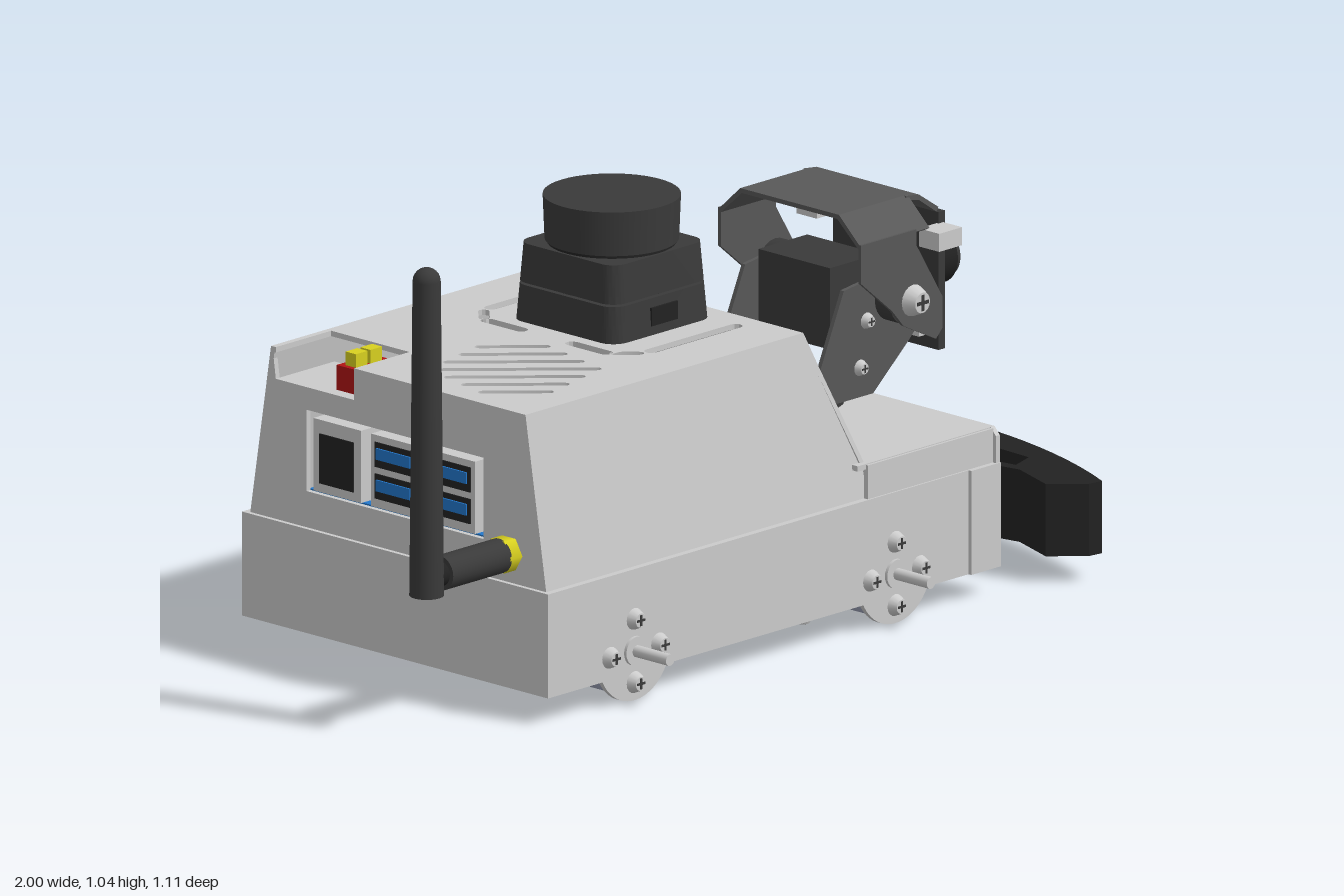
import * as THREE from 'three';
import { toCreasedNormals } from 'three/addons/utils/BufferGeometryUtils.js';

const mat = c => new THREE.MeshStandardMaterial({ color: c, side: THREE.DoubleSide });
const GREY = mat(0xcccccc), DARK = mat(0x3a3a3a), BLACK = mat(0x222222), MOTOR = mat(0xa3a9c0),
  YELLOW = mat(0xd8d020), RED = mat(0xb01515), BLUE = mat(0x2277cc), BRACKET = mat(0x585858);

const pts = a => a.map(p => new THREE.Vector2(p[0], p[1]));
const poly = (a, ...holes) => {
  const s = new THREE.Shape(pts(a));
  s.holes.push(...holes);
  return s;
};
const rect = (x0, y0, x1, y1) => [[x0, y0], [x1, y0], [x1, y1], [x0, y1]];
const hole = a => new THREE.Path(pts(a));

// Rounded slot outline; half is the half length between its end centres
function slot(cx, cy, half, r, angle) {
  const out = [];
  for (let i = 0; i < 12; i++) {
    const a = -Math.PI / 2 + Math.PI * (i % 6) / 5 + (i < 6 ? 0 : Math.PI);
    const u = (i < 6 ? half : -half) + r * Math.cos(a), v = r * Math.sin(a);
    out.push([cx + u * Math.cos(angle) - v * Math.sin(angle), cy + u * Math.sin(angle) + v * Math.cos(angle)]);
  }
  return out;
}

export function createModel() {
  const root = new THREE.Group();
  const add = (name, geo, material, x = 0, y = 0, z = 0) => {
    const m = new THREE.Mesh(geo, material);
    m.name = name;
    m.position.set(x, y, z);
    root.add(m);
    return m;
  };
  // Box given by its limits
  const box = (name, x0, x1, y0, y1, z0, z1, m = GREY) =>
    add(name, new THREE.BoxGeometry(x1 - x0, y1 - y0, z1 - z0), m, (x0 + x1) / 2, (y0 + y1) / 2, (z0 + z1) / 2);
  // Cylinder along an axis, given start, end and radii
  const rod = (name, axis, a, b, r, x, y, z, m = GREY, r2 = r, seg = 24) => {
    const g = new THREE.CylinderGeometry(r2, r, b - a, seg);
    if (axis === 'x') g.rotateZ(-Math.PI / 2);
    if (axis === 'z') g.rotateX(Math.PI / 2);
    const o = add(name, g, m, x, y, z);
    o.position[axis] = (a + b) / 2;
    return o;
  };
  // Sheet in plane 'xy', 'xz' or 'zy', spanning a..b across it, with an optional vertex rule
  const sheet = (name, plane, shape, a, b, m = GREY, rule) => {
    let g = new THREE.ExtrudeGeometry(shape, { depth: b - a, bevelEnabled: false, curveSegments: 16 });
    if (plane === 'xy') g.translate(0, 0, a);
    if (plane === 'xz') g.rotateX(Math.PI / 2).translate(0, b, 0);
    if (plane === 'zy') g.rotateY(-Math.PI / 2).translate(b, 0, 0);
    if (rule) {
      const p = g.attributes.position;
      for (let i = 0; i < p.count; i++) {
        const v = new THREE.Vector3().fromBufferAttribute(p, i);
        rule(v);
        p.setXYZ(i, v.x, v.y, v.z);
      }
      g.computeVertexNormals();
    }
    return add(name, toCreasedNormals(g, 0.6), m);
  };
  // Cross-head screw pointing along +/- an axis
  const screw = (axis, dir, r, x, y, z) => {
    const g = new THREE.Group();
    g.name = 'screw';
    const head = new THREE.Mesh(new THREE.CylinderGeometry(r * 0.65, r, r * 0.8, 16), GREY);
    const barA = new THREE.Mesh(new THREE.BoxGeometry(r, r * 0.1, r * 0.22), DARK);
    barA.position.y = r * 0.4;
    const barB = barA.clone();
    barB.rotation.y = Math.PI / 2;
    g.add(head, barA, barB);
    const d = new THREE.Vector3();
    d[axis] = dir;
    g.quaternion.setFromUnitVectors(new THREE.Vector3(0, 1, 0), d);
    g.position.set(x, y, z).addScaledVector(d, r * 0.4);
    root.add(g);
  };

  // Open-bottomed chassis: side walls dip round each axle
  const axles = [-0.455, 0.345], AY = 0.12;
  const wall = new THREE.Shape();
  wall.moveTo(-0.72, 0.07);
  for (const x of axles) {
    wall.lineTo(x - 0.098, 0.07);
    wall.absarc(x, AY, 0.11, Math.PI + 0.47, -0.47, false);
  }
  wall.lineTo(0.65, 0.07).lineTo(0.65, 0.295).lineTo(-0.72, 0.295).closePath();
  for (const s of [1, -1]) {
    sheet('chassisSide', 'xy', wall, s > 0 ? 0.438 : -0.45, s > 0 ? 0.45 : -0.438);
    box('cornerFlap', 0.57, 0.66, 0.07, 0.3, s * 0.453 - 0.005, s * 0.453 + 0.005);
    box('deckSide', 0.265, 0.65, 0.29, 0.375, s * 0.44 - 0.006, s * 0.44 + 0.006);
  }
  box('rearWall', -0.72, -0.708, 0.07, 0.295, -0.45, 0.45);
  sheet('chassisRim', 'xz', poly(rect(-0.72, -0.45, 0.65, 0.45), hole(rect(-0.69, -0.41, 0.63, 0.41))), 0.288, 0.3);
  sheet('frontWall', 'zy', poly([[-0.455, 0.07], [0.455, 0.07], [0.455, 0.36], [0.44, 0.377], [-0.44, 0.377], [-0.455, 0.36]]), 0.648, 0.66);
  sheet('deck', 'xz', poly([[0.24, -0.44], [0.655, -0.44], [0.655, 0.44], [0.24, 0.44], [0.24, 0.1], [0.265, 0.08], [0.265, -0.08], [0.24, -0.1]]), 0.365, 0.377);
  for (const s of [1, -1]) screw('y', 1, 0.025, 0.31, 0.377, s * 0.165);

  // Tapered hood with vents, a rear notch and a port opening
  const vents = [];
  for (let i = -3; i <= 3; i++) vents.push(hole(slot(-0.48 + i * 0.04, 0.12 - i * 0.04, 0.175 - Math.abs(i) * 0.035, 0.011, Math.PI / 4)));
  for (const s of [1, -1]) {
    vents.push(hole(slot(-0.255, s * 0.125, 0.05, 0.015, Math.PI / 2)));
    vents.push(hole(slot(-0.05, s * 0.235, 0.13, 0.015, 0)));
    vents.push(hole(slot(-0.228, s * 0.21, 0.025, 0.012, s * Math.PI / 4)));
  }
  sheet('hoodTop', 'xz', poly([[-0.71, -0.13], [-0.54, -0.13], [-0.54, -0.36], [-0.71, -0.36], [-0.71, -0.372], [0.142, -0.372], [0.142, 0.372], [-0.71, 0.372]], ...vents), 0.668, 0.68);
  for (const s of [1, -1]) {
    sheet('hoodSide', 'xy', poly([[-0.71, 0.3], [0.275, 0.3], [0.27, 0.38], [0.142, 0.68], [-0.71, 0.68]]),
      -0.006, 0.006, GREY, v => { v.z += s * (0.368 + (0.68 - v.y) * 0.16); });
  }
  sheet('hoodFront', 'zy', poly([[-0.43, 0.36], [-0.11, 0.36], [-0.1, 0.41], [-0.06, 0.45], [0.06, 0.45], [0.1, 0.41], [0.11, 0.36], [0.43, 0.36], [0.372, 0.68], [-0.372, 0.68]]),
    0.13, 0.142, GREY, v => { v.x += (0.68 - v.y) * 0.43; });
  sheet('hoodBack', 'zy', poly([[-0.43, 0.3], [0.43, 0.3], [0.372, 0.68], [-0.13, 0.68], [-0.13, 0.61], [-0.36, 0.61], [-0.37, 0.68], [-0.372, 0.68]],
    hole(rect(-0.27, 0.38, 0.25, 0.56))), -0.71, -0.698);

  // Electronics behind the openings
  box('circuitBoard', -0.69, -0.2, 0.37, 0.38, -0.28, 0.26, BLUE);
  box('connectorTray', -0.7, -0.53, 0.6, 0.61, -0.36, -0.13);
  for (const [i, z] of [-0.17, 0, 0.165].entries()) {
    box('portShell', -0.72, -0.5, 0.39, 0.55, z - 0.07, z + 0.07);
    if (i === 0) box('networkSocket', -0.723, -0.715, 0.41, 0.52, z - 0.05, z + 0.05, BLACK);
    else for (const y of [0.41, 0.48]) {
      box('portSocket', -0.723, -0.715, y, y + 0.055, z - 0.058, z + 0.058, BLACK);
      box('portTongue', -0.727, -0.715, y + 0.018, y + 0.043, z - 0.05, z + 0.05, BLUE);
    }
  }
  box('powerConnector', -0.68, -0.57, 0.61, 0.665, -0.21, -0.15, RED);
  for (const x of [-0.65, -0.605]) box('connectorPin', x - 0.018, x + 0.018, 0.62, 0.695, -0.195, -0.165, YELLOW);

  // Antenna
  rod('antennaNut', 'x', -0.745, -0.71, 0.04, 0, 0.365, 0.325, YELLOW, 0.04, 6);
  rod('antennaBase', 'x', -0.92, -0.74, 0.038, 0, 0.365, 0.325, DARK);
  rod('antennaNeck', 'x', -0.96, -0.9, 0.028, 0, 0.365, 0.325, BLACK);
  rod('antennaMast', 'y', 0.325, 1.02, 0.037, -0.962, 0, 0.325, DARK, 0.03);
  add('antennaTip', new THREE.SphereGeometry(0.03, 20, 12), DARK, -0.962, 1.02, 0.325);

  // Scanner: tapered rounded base and a turning drum
  const LX = -0.055, h = 0.155, c = 0.04, sq = new THREE.Shape();
  [[h - c, -h + c, -0.5], [h - c, h - c, 0], [-h + c, h - c, 0.5], [-h + c, -h + c, 1]].forEach(([x, y, k]) =>
    sq.absarc(x, y, c, k * Math.PI, (k + 0.5) * Math.PI, false));
  const taper = v => { const k = 1 - (v.y - 0.68) * 0.45; v.x = LX + v.x * k; v.z *= k; };
  sheet('scannerFoot', 'xz', sq, 0.675, 0.76, DARK, taper);
  sheet('scannerBody', 'xz', sq, 0.765, 0.85, DARK, taper);
  rod('scannerNeck', 'y', 0.75, 0.87, 0.138, LX, 0, 0, BLACK, 0.138, 40);
  rod('scannerDrum', 'y', 0.857, 0.955, 0.143, LX, 0, 0, DARK, 0.147, 48);
  box('scannerSocket', LX - 0.04, LX + 0.04, 0.7, 0.74, 0.145, 0.156, BLACK);

  // Drive motors, shafts and mounting screws
  for (const x of axles) for (const s of [1, -1]) {
    for (const [name, a, b, r, m] of [['gearbox', 0.29, 0.437, 0.1, MOTOR], ['motorBody', 0.13, 0.29, 0.092, MOTOR],
      ['motorBand', 0.21, 0.24, 0.1, MOTOR], ['encoderCap', 0.04, 0.14, 0.1, DARK], ['shaftCollar', 0.44, 0.457, 0.032, GREY], ['driveShaft', 0.44, 0.555, 0.013, GREY]])
      rod(name, 'z', Math.min(s * a, s * b), Math.max(s * a, s * b), r, x, AY, 0, m);
    for (const [dx, dy] of [[0.075, 0], [-0.075, 0], [0, 0.07], [0, -0.07]]) screw('z', s, 0.024, x + dx, AY + dy, s * 0.45);
  }

  // Belly plate, its board and corner screws
  box('bellyPlate', -0.33, 0.225, 0.037, 0.049, -0.35, 0.35);
  box('bellyBoard', -0.34, 0.24, 0.085, 0.095, -0.38, 0.38, BLUE);
  for (const x of [-0.305, 0.195]) for (const z of [-0.32, 0.32]) {
    screw('y', -1, 0.025, x, 0.037, z);
    rod('standoff', 'y', 0.045, 0.09, 0.02, x, 0, z, GREY, 0.02, 6);
  }

  // Curved bumper on its bracket
  const rim = [];
  for (let i = 0; i <= 20; i++) {
    const z = -0.545 + 1.09 * i / 20;
    rim.push([Math.sqrt(1.297 ** 2 - z * z) - 0.297, z]);
  }
  const inner = [[0.845, 0.54], [0.78, 0.475], [0.82, 0.36], [0.79, 0.2]];
  const web = s => hole([[0.84, s * 0.33], [0.9, s * 0.31], [0.905, s * 0.21], [0.82, s * 0.2]]);
  sheet('bumper', 'xz', poly([...rim, ...inner, ...inner.map(([x, z]) => [x, -z]).reverse()],
    web(1), web(-1), hole(rect(0.91, -0.15, 0.955, 0.15))), 0.07, 0.23, BLACK);
  box('bumperBracket', 0.62, 0.86, 0.05, 0.068, -0.19, 0.19);
  for (const z of [-0.125, 0, 0.125]) {
    rod('bumperNut', 'y', 0.035, 0.055, 0.03, 0.84, 0, z, GREY, 0.03, 6);
    screw('y', 1, 0.034, 0.84, 0.23, z);
    screw('y', -1, 0.025, 0.67, 0.05, z);
  }

  // Camera mount: turntable, cradle and folded shroud
  rod('turntable', 'y', 0.375, 0.41, 0.11, 0.5, 0, 0, DARK);
  box('cradleFloor', 0.39, 0.59, 0.405, 0.417, -0.15, 0.15, BRACKET);
  for (const s of [1, -1]) {
    const at = (z, t) => [Math.min(s * z, s * (z + t)), Math.max(s * z, s * (z + t))];
    sheet('cradleArm', 'xy', poly([[0.39, 0.405], [0.59, 0.405], [0.7, 0.5], [0.74, 0.54], [0.74, 0.59], [0.66, 0.67], [0.5, 0.65]]), ...at(0.14, 0.01), BRACKET);
    sheet('shroudSide', 'xy', poly([[0.49, 0.765], [0.49, 0.68], [0.585, 0.6], [0.62, 0.56], [0.72, 0.51], [0.74, 0.53], [0.74, 0.6], [0.66, 0.73], [0.66, 0.765]]), ...at(0.202, 0.008), BRACKET);
    rod('pivotHub', 'z', ...at(0.145, 0.05), 0.055, 0.65, 0.61, 0, DARK);
    screw('z', s, 0.035, 0.65, 0.61, s * 0.21);
    for (const [x, y] of [[0.57, 0.57], [0.55, 0.47]]) screw('z', s, 0.018, x, y, s * 0.15);
    box('cameraTab', 0.73, 0.8, 0.7, 0.74, ...at(0.15, 0.06));
    box('cameraTab', 0.73, 0.8, 0.5, 0.53, ...at(0.11, 0.04));
  }
  sheet('shroudRoof', 'zy', poly([[-0.21, 0.76], [-0.145, 0.82], [0.145, 0.82], [0.21, 0.76], [0.202, 0.755], [0.14, 0.81], [-0.14, 0.81], [-0.202, 0.755]]),
    0.49, 0.7, BRACKET);
  sheet('shroudVisor', 'xy', poly([[0.69, 0.82], [0.73, 0.815], [0.79, 0.775], [0.785, 0.765], [0.73, 0.803], [0.69, 0.81]]), -0.15, 0.15, BRACKET);
  box('tiltServo', 0.53, 0.68, 0.5, 0.68, -0.13, 0.08, DARK);

  // Camera plate, lens and corner screws
  box('cameraPlate', 0.785, 0.805, 0.46, 0.765, -0.155, 0.155, DARK);
  sheet('lensMount', 'zy', poly(slot(0, 0.61, 0.06, 0.05, 0)), 0.8, 0.83, BLACK);
  rod('lensBarrel', 'x', 0.82, 0.9, 0.046, 0, 0.61, 0, BLACK);
  rod('lensRing', 'x', 0.885, 0.94, 0.064, 0, 0.61, 0, BLACK, 0.064, 32);
  rod('lensTip', 'x', 0.94, 0.957, 0.055, 0, 0.61, 0, DARK, 0.055, 32);
  for (const z of [-0.113, 0.113]) for (const y of [0.495, 0.72]) screw('x', 1, 0.024, 0.805, y, z);

  return root;
}
